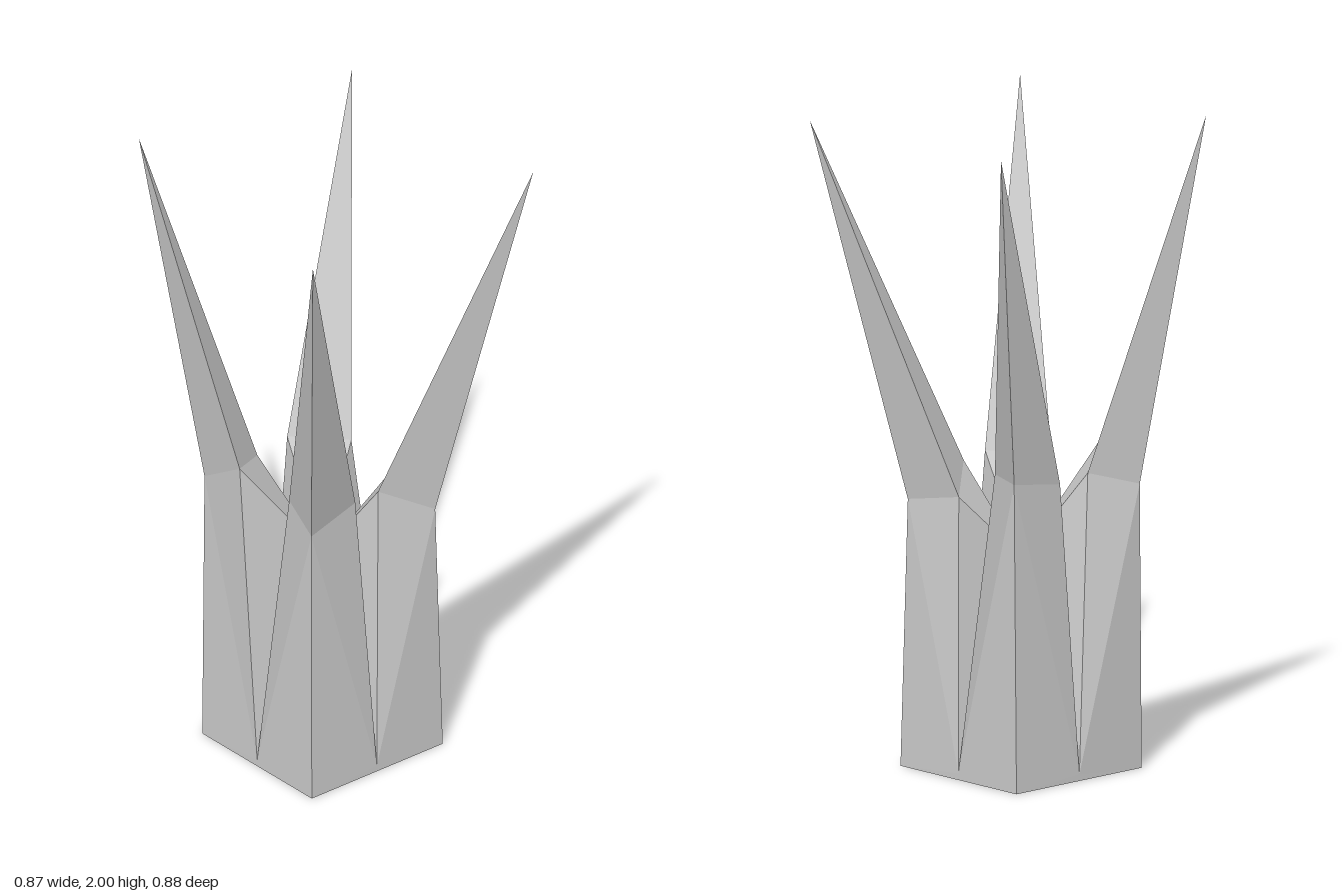
import * as THREE from 'three';

// Shared layout of the square block
const CX = -0.015, CZ = -0.017;
const X = { '1': 0.24, '-1': -0.267 };
const Z = { '1': 0.235, '-1': -0.27 };

// Each claw: quadrant signs, tip, outer corner, shoulder on the z face, shoulder on the x face
const CLAWS = [
  { name: 'frontLeftClaw', sx: 1, sz: 1, tip: [0.435, 1.965, 0.42], corner: [0.215, 0.81, 0.23],
    zShoulder: [0.04, 0.91, 0.175], xShoulder: [0.19, 0.845, 0.035] },
  { name: 'backLeftClaw', sx: 1, sz: -1, tip: [0.405, 1.975, -0.38], corner: [0.24, 0.94, -0.26],
    zShoulder: [0.045, 0.91, -0.25], xShoulder: [0.155, 0.93, -0.085] },
  { name: 'backRightClaw', sx: -1, sz: -1, tip: [-0.37, 2, -0.44], corner: [-0.25, 0.87, -0.28],
    zShoulder: [-0.1, 0.915, -0.215], xShoulder: [-0.265, 0.98, -0.1] },
  { name: 'frontRightClaw', sx: -1, sz: 1, tip: [-0.435, 1.965, 0.44], corner: [-0.26, 0.89, 0.225],
    zShoulder: [-0.065, 0.92, 0.195], xShoulder: [-0.195, 0.91, 0.045] },
];

function clawGeometry({ sx, sz, tip, corner, zShoulder, xShoulder }) {
  const p = {
    T: tip, K: corner, F: zShoulder, S: xShoulder,
    C: [CX, 0.64, CZ],          // common hollow between the claws
    O: [CX, 0, CZ],             // middle of the underside
    B: [X[sx], 0, Z[sz]],       // bottom corner
    P: [CX, 0, Z[sz]], M: [CX, 0.02, Z[sz]], // foot of the groove, z face
    Q: [X[sx], 0, CZ], N: [X[sx], 0.02, CZ], // foot of the groove, x face
  };
  const faces = [
    'PBM', 'MBK', 'MKF', 'FKT', // outer z side
    'QNB', 'NKB', 'NSK', 'STK', // outer x side
    'MFC', 'NCS',               // groove walls
    'FSC', 'FTS',               // inner slope and blade
    'OQB', 'OBP',               // underside
  ];
  const flip = sx * sz < 0;
  const positions = faces.flatMap((f) => {
    const [a, b, c] = f;
    return (flip ? [a, c, b] : [a, b, c]).flatMap((k) => p[k]);
  });
  const g = new THREE.BufferGeometry();
  g.setAttribute('position', new THREE.Float32BufferAttribute(positions, 3));
  g.computeVertexNormals();
  return g;
}

export function createModel() {
  const model = new THREE.Group();
  model.name = 'clawedBlock';
  const material = new THREE.MeshStandardMaterial({ color: 0xcccccc, flatShading: true });
  for (const claw of CLAWS) {
    const mesh = new THREE.Mesh(clawGeometry(claw), material);
    mesh.name = claw.name;
    model.add(mesh);
  }
  return model;
}
